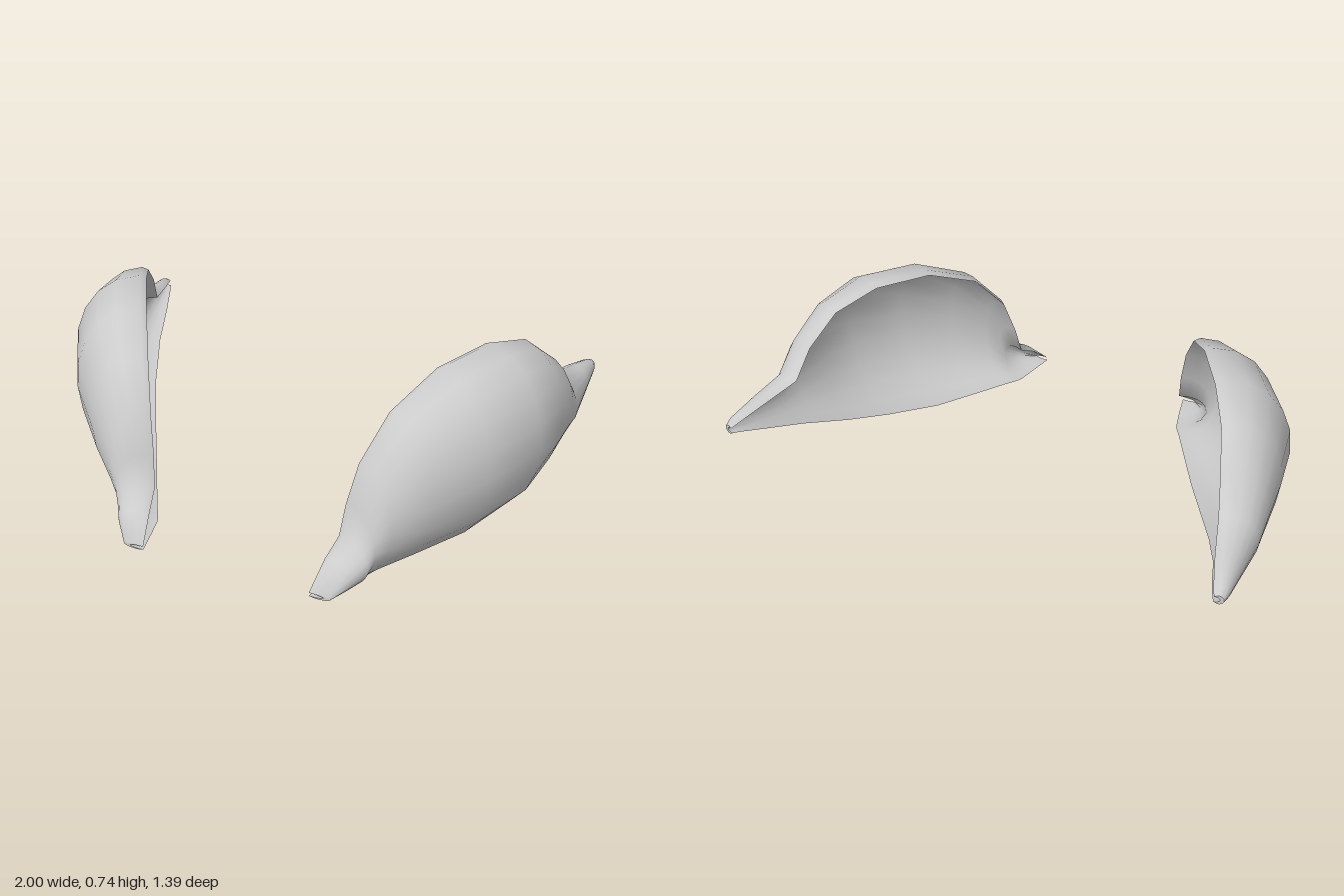
import * as THREE from 'three';
import { toCreasedNormals } from 'three/addons/utils/BufferGeometryUtils.js';

const ARC = 10;          // segments from top edge to bottom edge
const THICKNESS = 0.025; // wall of the shell

// Stations from front tip to back tip:
// rim x, rim z, top y, bottom y, bulge depth, bulge direction x, z
const STATIONS = [
  [0.33, 0.695, 0.035, 0.012, 0.08, 1.0, 0.0],
  [0.35, 0.60, 0.13, 0.004, 0.12, 0.95, 0.3],
  [0.37, 0.52, 0.18, 0.0, 0.145, 0.9, 0.4],
  [0.382, 0.49, 0.30, 0.003, 0.155, 0.88, 0.43],
  [0.41, 0.445, 0.45, 0.008, 0.175, 0.88, 0.46],
  [0.475, 0.33, 0.61, 0.018, 0.23, 0.88, 0.47],
  [0.58, 0.145, 0.713, 0.036, 0.29, 0.88, 0.47],
  [0.695, -0.06, 0.735, 0.09, 0.3, 0.88, 0.47],
  [0.78, -0.22, 0.69, 0.145, 0.235, 0.88, 0.45],
  [0.83, -0.34, 0.585, 0.2, 0.18, 0.92, 0.38],
  [0.86, -0.41, 0.465, 0.232, 0.145, 0.95, 0.32],
  [0.905, -0.56, 0.44, 0.3, 0.098, 0.95, 0.32],
  [0.945, -0.675, 0.415, 0.35, 0.055, 0.95, 0.32],
  [0.957, -0.70, 0.40, 0.362, 0.035, 0.95, 0.2],
];

// Closed shell of rounded sections; side is +1 (left) or -1 (right)
function shellGeometry(side) {
  const positions = [];
  const index = [];
  const ring = 2 * (ARC + 1);
  const last = STATIONS.length - 1;

  for (const [x, z, top, bottom, depth, nx, nz] of STATIONS) {
    const mid = (top + bottom) / 2;
    const half = (top - bottom) / 2;
    const wall = Math.min(THICKNESS, depth * 0.4);
    const innerHalf = Math.max(half - THICKNESS * 0.5, half * 0.6);
    for (let k = 0; k < ring; k++) {
      const outer = k <= ARC;
      const a = (Math.PI * (outer ? k : ring - 1 - k)) / ARC;
      const bulge = Math.abs(Math.sin(a)) ** 0.9;
      // The rim steps inwards, so it faces up at the top and down below
      const out = outer ? wall + bulge * (depth - wall) : bulge * (depth - wall);
      const y = mid + Math.cos(a) * (outer ? half : innerHalf);
      positions.push(side * (x + nx * out), y, z + nz * out);
    }
  }

  const quad = (a, b, c, d) => {
    if (side > 0) index.push(a, b, c, a, c, d);
    else index.push(a, c, b, a, d, c);
  };
  // Walls and rim
  for (let i = 0; i < last; i++) {
    for (let k = 0; k < ring; k++) {
      const n = (k + 1) % ring;
      quad(i * ring + k, i * ring + n, (i + 1) * ring + n, (i + 1) * ring + k);
    }
  }
  // Tip caps
  const e = last * ring;
  for (let k = 0; k < ARC; k++) {
    const p = ring - 1 - k;
    quad(k, p, p - 1, k + 1);
    quad(e + k, e + k + 1, e + p - 1, e + p);
  }

  const geometry = new THREE.BufferGeometry();
  geometry.setAttribute('position', new THREE.Float32BufferAttribute(positions, 3));
  geometry.setIndex(index);
  return toCreasedNormals(geometry, 1.0);
}

export function createModel() {
  const group = new THREE.Group();
  group.name = 'shellPair';
  const material = new THREE.MeshStandardMaterial({ color: 0xcccccc });
  for (const [name, side] of [['leftShell', 1], ['rightShell', -1]]) {
    const shell = new THREE.Mesh(shellGeometry(side), material);
    shell.name = name;
    group.add(shell);
  }
  return group;
}
